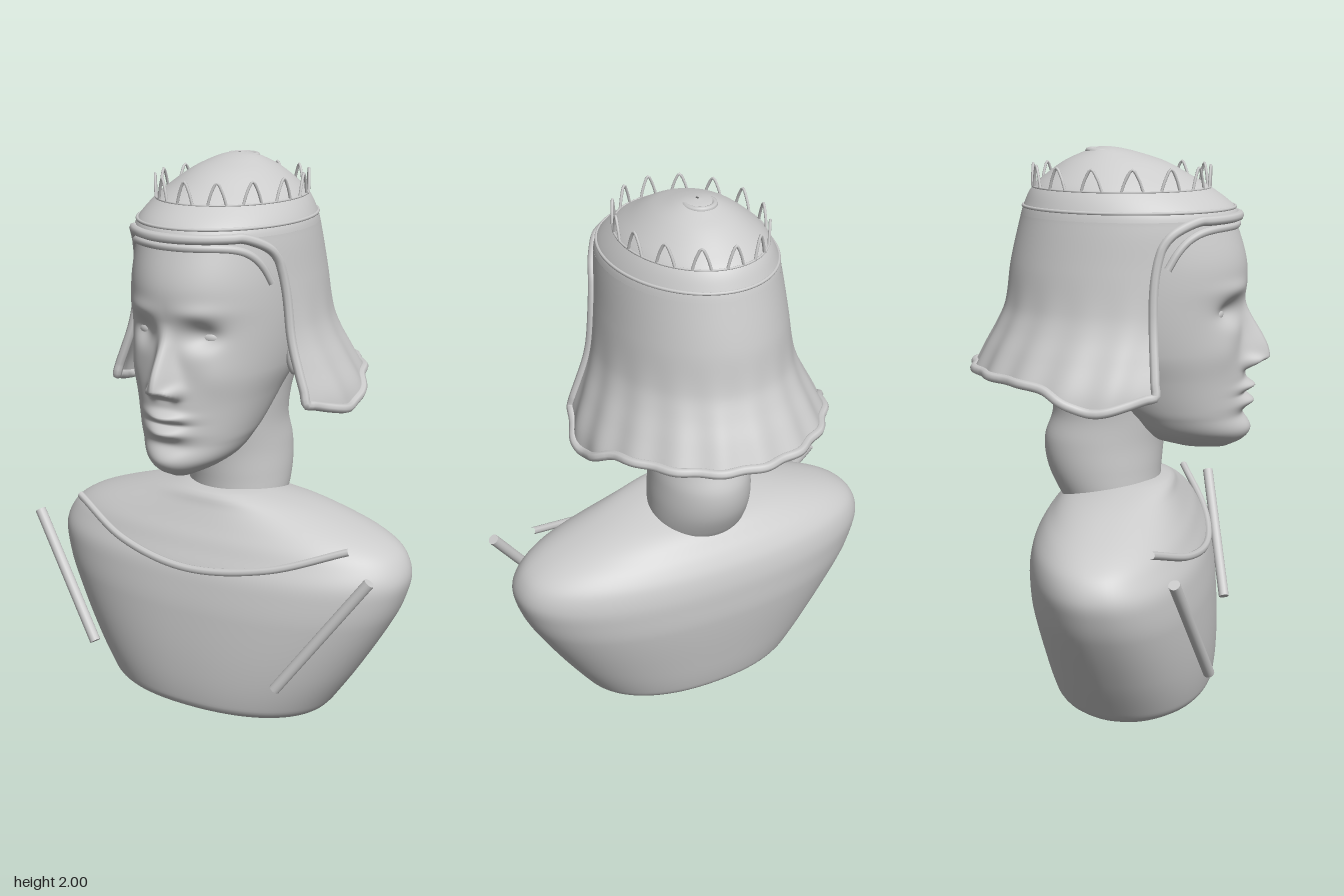
import * as THREE from 'three';
import { mergeVertices } from 'three/addons/utils/BufferGeometryUtils.js';

// Cross-section tables, bottom to top: [y, half width, front z, back z]
const TORSO = [[0, .4, .3, -.17], [.02, .43, .34, -.205], [.05, .455, .36, -.225], [.2, .555, .37, -.26],
  [.4, .67, .36, -.295], [.5, .708, .345, -.3], [.56, .715, .33, -.298], [.62, .69, .3, -.285], [.66, .645, .28, -.265],
  [.7, .56, .255, -.235], [.76, .37, .22, -.17], [.8, .2, .2, -.06], [.815, .12, .17, 0]];
const NECK = [[.7, .16, .12, -.18], [.75, .18, .15, -.215], [.85, .185, .16, -.26], [.95, .18, .17, -.27],
  [1.05, .175, .19, -.24], [1.15, .185, .2, -.25], [1.25, .2, .2, -.29], [1.45, .22, .2, -.33]];
const HEAD = [[.932, .045, .4, .22], [.96, .1, .45, .12], [1, .15, .47, .06], [1.06, .185, .46, 0], [1.1, .2, .463, -.05],
  [1.2, .23, .462, -.15], [1.3, .262, .455, -.24], [1.45, .28, .455, -.29], [1.6, .28, .46, -.3], [1.76, .268, .415, -.27]];
const HELMET = [[1.12, .46, .43, -.57], [1.2, .44, .43, -.53], [1.3, .395, .43, -.48], [1.38, .36, .43, -.437],
  [1.45, .34, .43, -.408], [1.6, .32, .43, -.385], [1.76, .3, .43, -.347], [1.8, .288, .41, -.335], [1.86, .25, .33, -.305],
  [1.9, .21, .26, -.26], [1.95, .145, .165, -.19], [1.98, .09, .07, -.125], [1.994, .05, .01, -.085], [2, .005, -.03, -.045]];

// Smooth (Hermite) lookup of column k at height y
function lookup(rows, y, k) {
  let i = 0;
  while (i < rows.length - 2 && y > rows[i + 1][0]) i++;
  const slope = j => {
    const a = rows[Math.max(0, j - 1)], b = rows[Math.min(rows.length - 1, j + 1)];
    return (b[k] - a[k]) / (b[0] - a[0]);
  };
  const [p, q] = [rows[i], rows[i + 1]], h = q[0] - p[0];
  const t = THREE.MathUtils.clamp((y - p[0]) / h, 0, 1), t2 = t * t, t3 = t2 * t;
  return (2 * t3 - 3 * t2 + 1) * p[k] + (t3 - 2 * t2 + t) * h * slope(i)
    + (3 * t2 - 2 * t3) * q[k] + (t3 - t2) * h * slope(i + 1);
}

// Point on a cross-section; the angle runs from the front towards +x
function section(rows, angle, y, power = 2) {
  const round = v => Math.sign(v) * Math.abs(v) ** (2 / power);
  const f = lookup(rows, y, 2), b = lookup(rows, y, 3);
  return new THREE.Vector3(lookup(rows, y, 1) * round(Math.sin(angle)), y, (f + b) / 2 + (f - b) / 2 * round(Math.cos(angle)));
}

// Grid surface from a point function of (u, v)
function surface(nu, nv, point) {
  const pos = [], index = [];
  for (let j = 0; j <= nv; j++) for (let i = 0; i <= nu; i++) pos.push(...point(i / nu, j / nv).toArray());
  for (let j = 0; j < nv; j++) for (let i = 0; i < nu; i++) {
    const a = j * (nu + 1) + i, c = a + nu + 1;
    index.push(a, a + 1, c + 1, a, c + 1, c);
  }
  let geo = new THREE.BufferGeometry();
  geo.setAttribute('position', new THREE.Float32BufferAttribute(pos, 3));
  geo.setIndex(index);
  geo = mergeVertices(geo, 1e-5);
  geo.computeVertexNormals();
  return geo;
}

// Closed body through a section table, capped at both ends
function body(rows, nu, nv, power = 2, shape = p => p) {
  const y0 = rows[0][0], y1 = rows[rows.length - 1][0];
  return surface(nu, nv, (u, v) => {
    const t = THREE.MathUtils.clamp((v * nv - 1) / (nv - 2), 0, 1), y = y0 + (y1 - y0) * t;
    if (v === 0 || v === 1) return new THREE.Vector3(0, y, (lookup(rows, y, 2) + lookup(rows, y, 3)) / 2);
    return shape(section(rows, u === 1 ? 0 : u * Math.PI * 2, y, power), u);
  });
}

const bump = (v, s) => Math.exp(-((v / s) ** 2));
const step = (v, a, b) => THREE.MathUtils.smoothstep(v, a, b);

// Nose, sockets, lips, cheeks and chin pushed into the front of the head
function sculptFace(p, u) {
  const { x, y } = p, ax = Math.abs(x);
  const facing = step(Math.cos(u * Math.PI * 2), 0.05, 0.5);
  let d = .092 * (1 - step(y, 1.27, 1.49)) * step(y, 1.215, 1.265) * bump(x, .026 + .02 * (1 - step(y, 1.24, 1.4)));
  d += .03 * bump(ax - .045, .02) * bump(y - 1.248, .024);
  d -= .04 * bump(ax - .115, .06) * bump(y - 1.44, .045);
  d += .01 * bump(ax - .12, .08) * bump(y - 1.52, .03);
  d += .012 * bump(ax - .17, .06) * bump(y - 1.3, .07);
  d += bump(x, .068) * (.036 * bump(y - 1.16, .017) + .032 * bump(y - 1.103, .02) - .01 * bump(y - 1.133, .008));
  d += .014 * bump(x, .07) * bump(y - 1, .04) - .008 * bump(x, .08) * bump(y - 1.055, .02);
  p.z += d * facing;
  return p;
}

// Helmet shell point, with soft flutes that grow towards the flare
function helmetPoint(angle, y) {
  const p = section(HELMET, angle, y);
  const k = 1 + .012 * (1 - step(y, 1.2, 1.6)) * Math.cos(angle * 18);
  p.x *= k; p.z *= k;
  return p;
}
const BROW = 1.765;
const EDGE = [[1.1, .18], [1.2, .178], [1.5, .163], [1.65, .18], [1.72, .22], [BROW, .31]];
const HEM = [[-.6, 1.22], [-.3, 1.22], [-.2, 1.205], [-.1, 1.16], [-.02, 1.14], [.08, 1.16], [.16, 1.185], [.3, 1.22]];

// Angle at which the cheek edge cuts the shell
function edgeAngle(y) {
  const f = lookup(HELMET, y, 2), b = lookup(HELMET, y, 3);
  return Math.acos((lookup(EDGE, y, 1) - (f + b) / 2) / ((f - b) / 2));
}
// Skirt point: u runs round the back, v from hem up to brow
function skirtPoint(u, v) {
  const at = y => { const e = edgeAngle(y); return e + u * (2 * Math.PI - 2 * e); };
  const hem = lookup(HEM, section(HELMET, at(1.2), 1.2).z, 1), y = hem + (BROW - hem) * v;
  return helmetPoint(at(y), y);
}

export function createModel() {
  const group = new THREE.Group();
  const grey = new THREE.MeshStandardMaterial({ color: 0xcccccc });
  const thin = new THREE.MeshStandardMaterial({ color: 0xcccccc, side: THREE.DoubleSide });
  const add = (name, geo, mat = grey) => {
    const mesh = new THREE.Mesh(geo, mat);
    mesh.name = name;
    group.add(mesh);
    return mesh;
  };
  const tube = (points, segments, radius, closed = false) =>
    new THREE.TubeGeometry(new THREE.CatmullRomCurve3(points, closed), segments, radius, 8, closed);
  const V = (x, y, z) => new THREE.Vector3(x, y, z);

  // Bust
  add('torso', body(TORSO, 96, 80, 2.2));
  add('neck', body(NECK, 64, 50));
  add('head', body(HEAD, 200, 170, 2.1, sculptFace));

  // Eyes, lids and ears
  for (const s of [1, -1]) {
    const eye = add('eye', new THREE.SphereGeometry(1, 24, 16));
    eye.scale.set(.046, .027, .03);
    eye.position.set(s * .125, 1.432, .356);
    eye.rotation.y = s * .3;
    const lid = add('eyelid', new THREE.TorusGeometry(.048, .007, 8, 32));
    lid.scale.set(1, .58, 1);
    lid.position.set(s * .125, 1.432, .37);
    lid.rotation.y = s * .35;
    const ear = add('ear', new THREE.SphereGeometry(1, 20, 14));
    ear.scale.set(.025, .09, .05);
    ear.position.set(s * .275, 1.34, .05);
  }

  // Helmet: dome, flared skirt and rolled rim
  add('helmetDome', surface(96, 50, (u, v) =>
    helmetPoint(u === 1 ? 0 : u * Math.PI * 2, 2 - (2 - BROW) * (1 - v) ** 2)), thin);
  add('helmetSkirt', surface(140, 40, skirtPoint), thin);
  const half = [], e = edgeAngle(BROW);
  for (let i = 0; i < 8; i++) half.push(helmetPoint(e * i / 8, BROW));
  for (let i = 0; i < 14; i++) half.push(skirtPoint(0, 1 - i / 14));
  for (let i = 0; i <= 36; i++) half.push(skirtPoint(i / 72, 0));
  const mirrored = half.slice(1, -1).reverse().map(p => V(-p.x, p.y, p.z));
  add('helmetRim', tube([...half, ...mirrored], 320, .017, true));

  // Seam round the dome
  const ring = (y, n) => Array.from({ length: n }, (_, i) => section(HELMET, i / n * Math.PI * 2, y));
  add('domeSeam', tube(ring(1.795, 40), 120, .006, true));
  add('crownBand', tube(ring(1.862, 40), 120, .004, true));

  // Hairline band under the brow
  const band = [];
  for (let i = -12; i <= 12; i++) {
    const a = i / 12;
    band.push(section(HEAD, a * 1.25, 1.735 - .13 * a ** 6, 2.1));
  }
  add('hairBand', tube(band, 80, .014));

  // Crown of wire points
  const points = 14;
  for (let i = 0; i < points; i++) {
    const a = i / points * Math.PI * 2;
    const foot = d => section(HELMET, a + d, 1.862);
    const lift = (d, y) => foot(d).setY(y);
    add('crownPoint', tube([foot(-.12), lift(-.07, 1.905), lift(0, 1.937), lift(.07, 1.905), foot(.12)], 16, .005));
  }

  // Small open loop on top of the dome
  const loop = add('topLoop', new THREE.TorusGeometry(.05, .011, 8, 28, Math.PI * 1.2));
  loop.rotation.set(-Math.PI / 2, 0, -Math.PI * .1);
  loop.position.set(0, 1.985, -.055);

  // Collar cord and the two slanted rods
  add('collarCord', tube([V(-.57, .69, .19), V(-.3, .6, .295), V(0, .562, .335), V(.3, .6, .295), V(.57, .69, .19)], 48, .014));
  for (const s of [1, -1]) {
    const top = V(s * .695, .635, .28), low = V(s * .385, .2, .375);
    const rod = add(s > 0 ? 'leftRod' : 'rightRod', new THREE.CylinderGeometry(.02, .02, top.distanceTo(low), 16));
    rod.position.copy(top).add(low).multiplyScalar(.5);
    rod.quaternion.setFromUnitVectors(V(0, 1, 0), top.clone().sub(low).normalize());
  }
  return group;
}
